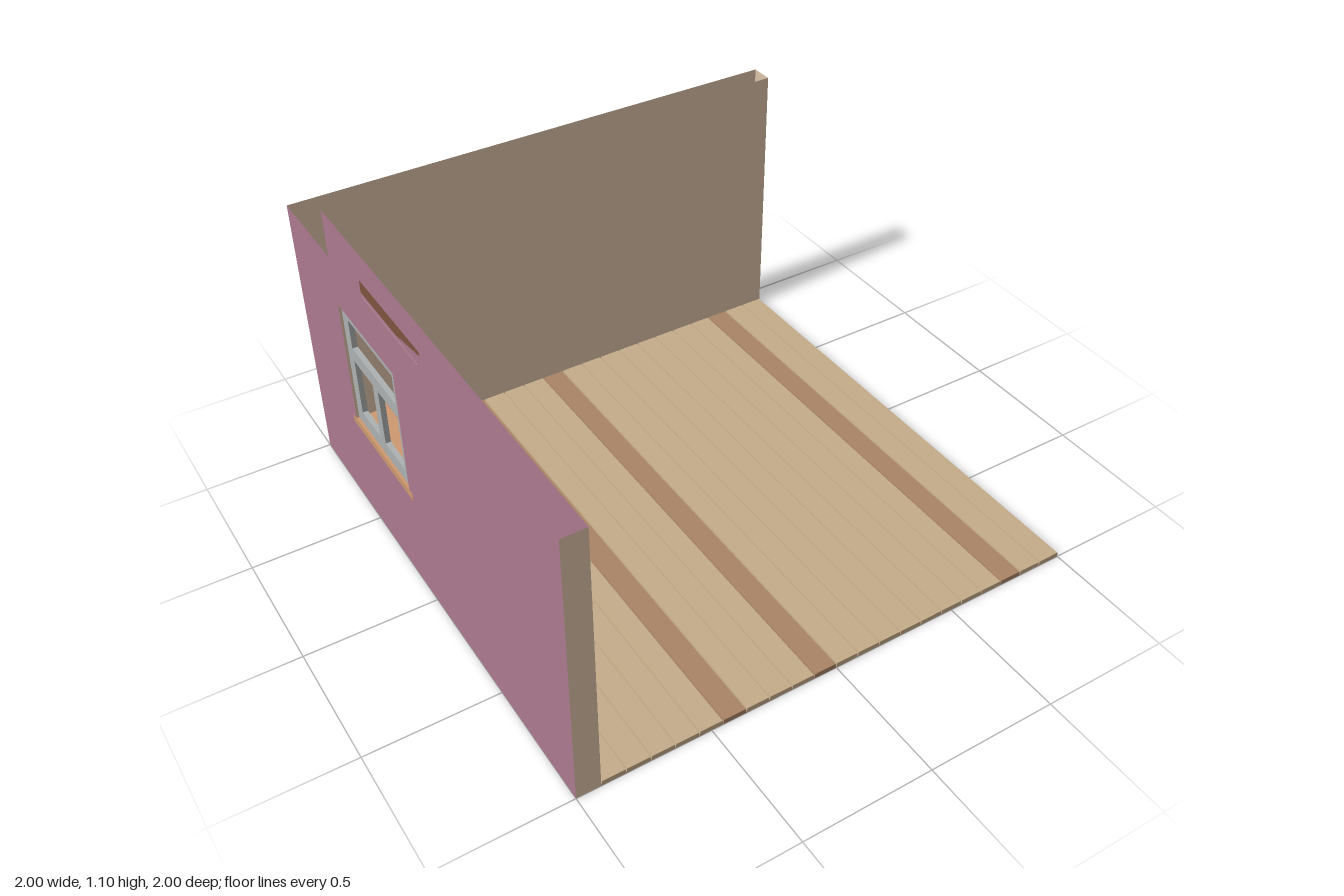
import * as THREE from 'three';

const paint = (color) => new THREE.MeshStandardMaterial({ color, side: THREE.DoubleSide });

const BEIGE = paint(0xdec3a9), PURPLE = paint(0xad7a90), OAK = paint(0xc6ad8b), DARK_OAK = paint(0xab8567);
const SILL = paint(0xcf9a70), GREY = paint(0xaeb2b2), FABRIC = paint(0xc9b18f), BROWN = paint(0x7d543f);

const T = -0.91;               // inner faces of the two walls
const H = 1.1;                 // wall height
const WIN = { z0: -0.594, z1: -0.135, y0: 0.41, y1: 0.915 };

function add(group, name, geometry, material) {
  const mesh = new THREE.Mesh(geometry, material);
  mesh.name = name;
  group.add(mesh);
  return mesh;
}

// Closed rectangle as a shape or hole
function rect(PathType, a0, b0, a1, b1) {
  const p = new PathType();
  p.moveTo(a0, b0);
  p.lineTo(a1, b0);
  p.lineTo(a1, b1);
  p.lineTo(a0, b1);
  p.closePath();
  return p;
}

// Box given by its limits
function box(x0, x1, y0, y1, z0, z1) {
  return new THREE.BoxGeometry(x1 - x0, y1 - y0, z1 - z0)
    .translate((x0 + x1) / 2, (y0 + y1) / 2, (z0 + z1) / 2);
}

// Upright sheet at constant x, drawn in z and y
const sheetX = (shape, x) => new THREE.ShapeGeometry(shape).rotateY(-Math.PI / 2).translate(x, 0, 0);
// Upright sheet at constant z, drawn in x and y
const sheetZ = (x0, x1, y0, y1, z) =>
  new THREE.ShapeGeometry(rect(THREE.Shape, x0, y0, x1, y1)).translate(0, 0, z);

function makeWalls() {
  const walls = new THREE.Group();
  walls.name = 'walls';

  // Side wall: two painted skins with the window opening
  for (const [name, x, back] of [['sideWallOuter', -1, -1], ['sideWallInner', T, T]]) {
    const skin = rect(THREE.Shape, back, 0, 1, H);
    skin.holes.push(rect(THREE.Path, WIN.z0, WIN.y0, WIN.z1, WIN.y1));
    add(walls, name, sheetX(skin, x), PURPLE);
  }
  add(walls, 'sideWallEnd', sheetZ(-1, T, 0, H, 1), BEIGE);

  // Back wall: two skins and the free end, open above and below
  add(walls, 'backWallOuter', sheetZ(-1, 1, 0, H, -1).rotateY(Math.PI).translate(0, 0, -2), BEIGE);
  add(walls, 'backWallInner', sheetZ(T, 1, 0, H, T), BEIGE);
  add(walls, 'backWallEnd', sheetX(rect(THREE.Shape, -1, 0, T, H), 1), BEIGE);

  // Lining of the window opening
  for (const z of [WIN.z0, WIN.z1]) add(walls, 'windowReveal', sheetZ(-1, T, WIN.y0, WIN.y1, z), BEIGE);
  for (const y of [WIN.y0, WIN.y1]) {
    const lining = new THREE.PlaneGeometry(T + 1, WIN.z1 - WIN.z0).rotateX(-Math.PI / 2);
    add(walls, 'windowLining', lining.translate((T - 1) / 2, y, (WIN.z0 + WIN.z1) / 2), PURPLE);
  }
  return walls;
}

function makeFloor() {
  const floor = new THREE.Group();
  floor.name = 'floor';
  const count = 21, width = (1 - T) / count, height = 0.02, depth = 1 - T;

  // Plank with an open underside and slightly narrowed top, leaving grooves
  const plank = new THREE.BoxGeometry(width, height, depth);
  const bottom = plank.groups[3];
  plank.setIndex([...plank.index.array].filter((_, i) => i < bottom.start || i >= bottom.start + bottom.count));
  plank.clearGroups();
  const p = plank.attributes.position;
  for (let i = 0; i < p.count; i++) {
    if (p.getY(i) > 0) p.setX(i, p.getX(i) - Math.sign(p.getX(i)) * 0.003);
  }
  plank.computeVertexNormals();

  const dark = [5, 9, 18];
  for (let i = 0; i < count; i++) {
    const mesh = add(floor, 'floorPlank', plank, dark.includes(i) ? DARK_OAK : OAK);
    mesh.position.set(T + (i + 0.5) * width, height / 2, (1 + T) / 2);
  }
  return floor;
}

function makeWindow() {
  const win = new THREE.Group();
  win.name = 'window';

  // Frame with one wide light above two casements
  const frame = rect(THREE.Shape, WIN.z0, WIN.y0, WIN.z1, WIN.y1);
  frame.holes.push(
    rect(THREE.Path, -0.545, 0.47, -0.387, 0.7),
    rect(THREE.Path, -0.342, 0.47, -0.177, 0.7),
    rect(THREE.Path, -0.545, 0.755, -0.177, 0.875)
  );
  const solid = new THREE.ExtrudeGeometry(frame, { depth: 0.02, bevelEnabled: false });
  add(win, 'windowFrame', solid.rotateY(-Math.PI / 2).translate(-0.97, 0, 0), GREY);

  add(win, 'windowSill', box(-1.001, -0.875, 0.385, 0.416, -0.622, -0.105), SILL);

  // Roller blind on the room side
  add(win, 'blindFabric', box(-0.908, -0.905, 0.738, 0.93, -0.6, -0.12), FABRIC);
  add(win, 'blindCassette', box(T, -0.896, 0.925, 0.977, -0.607, -0.116), BROWN);
  return win;
}

export function createModel() {
  const room = new THREE.Group();
  room.name = 'roomCorner';
  room.add(makeWalls(), makeFloor(), makeWindow());
  return room;
}
